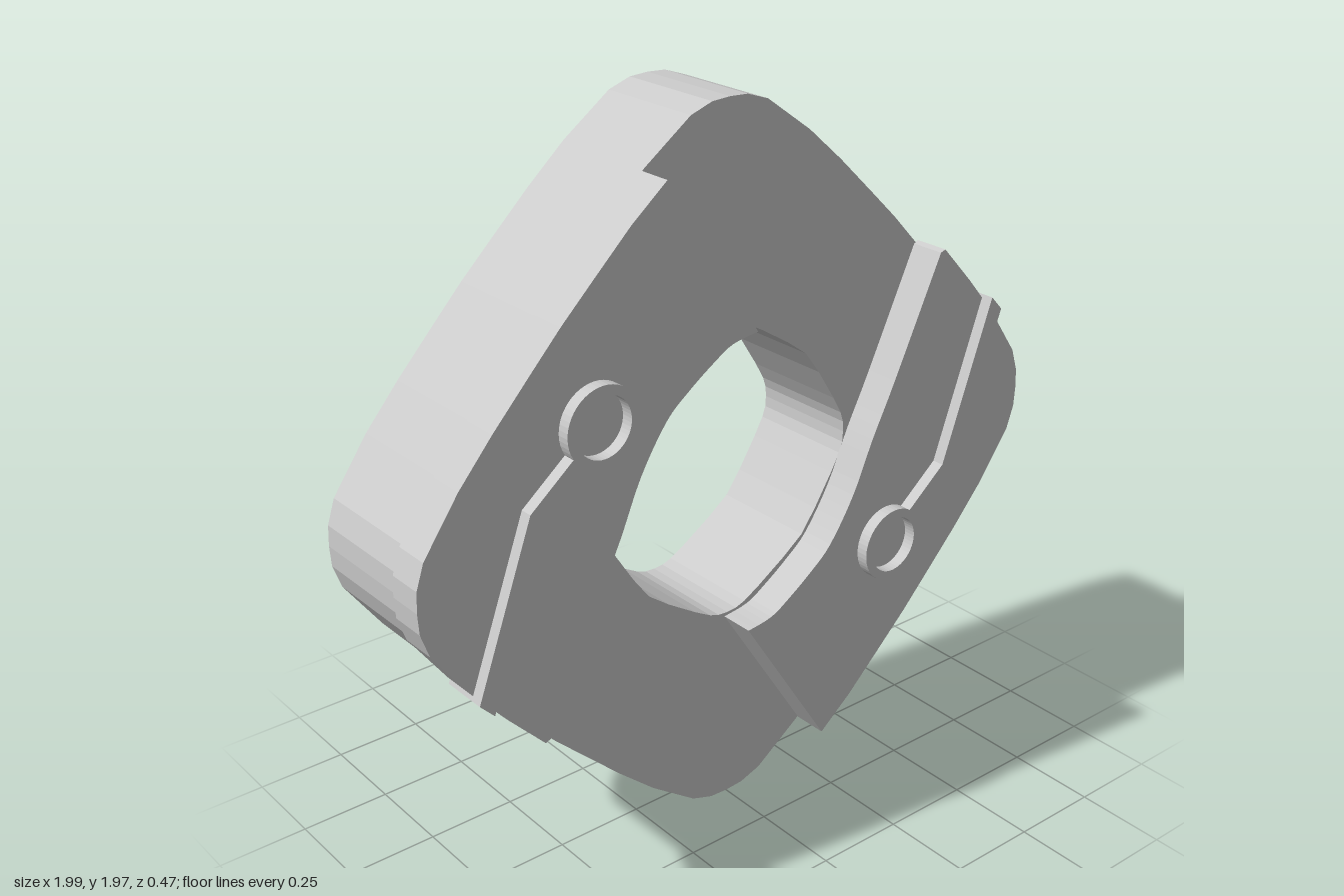
import * as THREE from 'three';

const BACK = -0.225, FRONT = 0.088, PLATE = 0.186, TRACE = 0.22;
const grey = new THREE.MeshStandardMaterial({ color: 0xcccccc });
const vecs = pts => pts.map(([x, y]) => new THREE.Vector2(x, y));

// Closed rounded-diamond loop (clockwise) from one eighth (top corner to the diagonal)
function diamond(eighth) {
  const quarter = [...eighth, ...eighth.slice(1, -1).reverse().map(([x, y]) => [y, x])];
  const loop = [];
  for (let k = 0; k < 4; k++) {
    for (const [x, y] of quarter) {
      loop.push([[x, y], [y, -x], [-x, -y], [-y, x]][k]);
    }
  }
  return loop;
}

function extrude(name, shape, z0, z1) {
  const geo = new THREE.ExtrudeGeometry(shape, { depth: z1 - z0, bevelEnabled: false, curveSegments: 24 });
  geo.translate(0, 0, z0);
  const mesh = new THREE.Mesh(geo, grey);
  mesh.name = name;
  return mesh;
}

const OUTER = [[0, 0.985], [0.055, 0.982], [0.12, 0.96], [0.26, 0.86], [0.37, 0.764], [0.48, 0.66], [0.572, 0.572]];
const INNER = [[0, 0.41], [0.03, 0.408], [0.06, 0.398], [0.11, 0.37], [0.2, 0.313], [0.265, 0.265]];

// Raised plate, circuit line and ring on the -x side
function contactSide(name) {
  const side = new THREE.Group();
  side.name = name;

  // Outer edge follows the body, slightly proud of it; inner edge skirts the hole
  const rim = diamond(OUTER)
    .filter(([x, y]) => x < -0.3 && y > -0.5)
    .map(([x, y]) => [x * 1.012, y * 1.012])
    .sort((a, b) => a[1] - b[1]);
  const innerEdge = new THREE.SplineCurve(vecs([
    [0.01, 0.42], [-0.07, 0.408], [-0.13, 0.376], [-0.21, 0.322], [-0.28, 0.262],
    [-0.36, 0.14], [-0.425, -0.005], [-0.5, -0.155], [-0.652, -0.48],
  ])).getPoints(32);
  const plate = new THREE.Shape([...innerEdge, ...vecs(rim), ...vecs([[-0.27, 0.857]])]);
  side.add(extrude('raisedPlate', plate, FRONT - 0.002, PLATE));

  // Bent line that ends in a tab over the plate edge
  const line = new THREE.Shape(vecs([
    [-0.58, 0.265], [-0.705, 0.165], [-0.87, -0.28],
    [-0.83, -0.322], [-0.67, 0.132], [-0.545, 0.235],
  ]));
  side.add(extrude('circuitLine', line, FRONT, TRACE));

  // Open ring at the end of the line
  const ring = new THREE.Shape().absarc(-0.49, 0.32, 0.105, 0, Math.PI * 2);
  ring.holes.push(new THREE.Path().absarc(-0.49, 0.32, 0.08, 0, Math.PI * 2, true));
  side.add(extrude('ring', ring, PLATE - 0.01, TRACE));
  return side;
}

export function createModel() {
  const model = new THREE.Group();
  model.name = 'diamondBlock';

  // Thick body with a through hole, wound opposite to the outline
  const bodyShape = new THREE.Shape(vecs(diamond(OUTER).reverse()));
  bodyShape.holes.push(new THREE.Path(vecs(diamond(INNER))));
  model.add(extrude('body', bodyShape, BACK, FRONT));

  // The two sides repeat under a half turn
  const right = contactSide('rightContact');
  const left = contactSide('leftContact');
  left.rotation.z = Math.PI;
  model.add(right, left);

  // Slight yaw
  model.position.y = 0.985;
  model.rotation.y = 0.011;
  return model;
}
